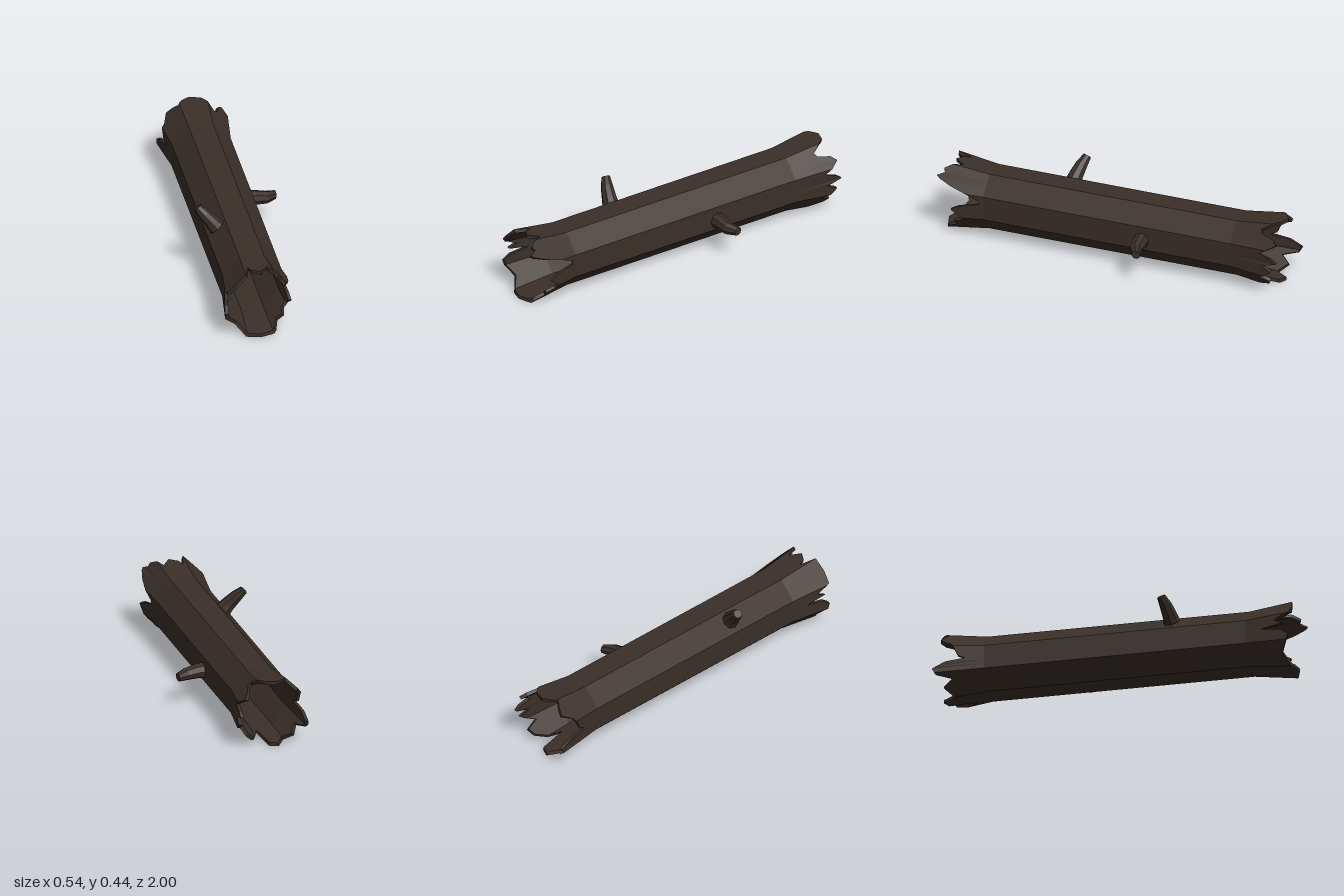
import * as THREE from 'three';

const bark = new THREE.MeshStandardMaterial({ color: 0x3b2f28, roughness: 1, flatShading: true });
const CX = -0.043, CY = 0.193;

// Jagged rims as [u, |z|]; u runs 0..8 round the octagon, whole numbers are its corners
const frontRim = [[0, .84], [.3, .9], [.45, .86], [.66, .74], [.8, .75], [1, .82], [1.2, .91], [1.4, .98], [1.5, 1],
  [1.65, .96], [1.8, .97], [2.05, .92], [2.15, .88], [2.45, .94], [2.75, .91], [2.85, .87], [3, .96], [3.5, .97],
  [3.95, .96], [4.2, .88], [4.35, .93], [4.48, .81], [4.6, .92], [4.8, .96], [5, .95], [5.5, .92], [5.9, .95],
  [6.1, .97], [6.5, .985], [6.9, .965], [7.1, .95], [7.3, .89], [7.6, .9], [7.75, .85], [8, .84]];
const backRim = [[0, .93], [.2, .97], [.38, .91], [.55, 1], [.7, .97], [.85, .9], [1, .94], [1.25, .99], [1.45, .96],
  [1.6, .89], [1.75, .88], [2, .93], [2.2, .97], [2.6, .99], [2.9, .96], [3.05, .93], [3.3, .95], [3.6, .96], [3.85, .9],
  [4.1, .88], [4.4, .86], [4.5, .82], [4.62, .93], [4.85, 1], [5.1, .98], [5.3, .9], [5.6, .95], [6, .9],
  [6.3, .97], [6.6, .95], [6.8, .79], [7, .86], [7.3, .93], [7.6, .95], [7.8, .88], [8, .93]];

function sample(rim, u) {
  const i = Math.max(1, rim.findIndex(p => p[0] >= u - 1e-6));
  const [u0, z0] = rim[i - 1], [u1, z1] = rim[i];
  return THREE.MathUtils.lerp(z0, z1, (u - u0) / (u1 - u0));
}

// Point on an octagon of apothem a at perimeter position u
function octagonPoint(u, a, z) {
  const corner = k => {
    const t = (k - 0.5) * Math.PI / 4, r = a / Math.cos(Math.PI / 8);
    return new THREE.Vector3(CX + r * Math.cos(t), CY + r * Math.sin(t), z);
  };
  const k = Math.floor(u);
  return corner(k).lerp(corner(k + 1), u - k);
}

// Flat-shaded skin over rows of points
function skin(rows, closeRows) {
  const pos = [];
  const tri = (...p) => p.forEach(v => pos.push(v.x, v.y, v.z));
  for (let i = 0; i < rows.length - 1; i++) {
    const n = rows[i].length;
    for (let j = 0; j < (closeRows ? n : n - 1); j++) {
      const k = (j + 1) % n;
      const a = rows[i][j], b = rows[i][k], c = rows[i + 1][k], d = rows[i + 1][j];
      tri(a, b, c);
      tri(a, c, d);
    }
  }
  const g = new THREE.BufferGeometry();
  g.setAttribute('position', new THREE.Float32BufferAttribute(pos, 3));
  g.computeVertexNormals();
  return g;
}

// Hollow trunk: each column runs along the outside and returns along the inside
function trunkGeometry() {
  const us = [...new Set([...frontRim, ...backRim].map(p => p[0]).concat([0, 1, 2, 3, 4, 5, 6, 7, 8]))].sort((a, b) => a - b);
  const flareStart = 0.72;
  const outer = z => 0.162 + 0.029 * THREE.MathUtils.clamp((z - flareStart) / 0.24, 0, 1);
  const inner = z => 0.149 + 0.022 * THREE.MathUtils.clamp((z - flareStart) / 0.24, 0, 1);
  const rows = us.map(u => {
    const f = sample(frontRim, u), b = sample(backRim, u);
    return [
      octagonPoint(u, outer(f), f), octagonPoint(u, 0.162, flareStart),
      octagonPoint(u, 0.162, -flareStart), octagonPoint(u, outer(b), -b),
      octagonPoint(u, inner(b), -b), octagonPoint(u, 0.149, -flareStart),
      octagonPoint(u, 0.149, flareStart), octagonPoint(u, inner(f), f),
    ];
  });
  return skin(rows, true);
}

// Bent, tapering stub from rings [x, y, z, radius], closed at the tip
function branchGeometry(rings, sides = 8) {
  const pts = rings.map(r => new THREE.Vector3(r[0], r[1], r[2]));
  const axis = pts.at(-1).clone().sub(pts[0]).normalize();
  const q = new THREE.Quaternion().setFromUnitVectors(new THREE.Vector3(0, 0, 1), axis);
  const radii = rings.map(r => r[3]);
  pts.push(pts.at(-1).clone());
  radii.push(0);
  const rows = [];
  for (let s = 0; s <= sides; s++) {
    const t = -(s / sides) * Math.PI * 2;
    rows.push(pts.map((p, i) =>
      new THREE.Vector3(Math.cos(t), Math.sin(t), 0).multiplyScalar(radii[i]).applyQuaternion(q).add(p)));
  }
  return skin(rows, false);
}

export function createModel() {
  const group = new THREE.Group();
  group.name = 'hollowLog';
  const add = (name, geometry) => {
    const mesh = new THREE.Mesh(geometry, bark);
    mesh.name = name;
    group.add(mesh);
  };
  add('trunk', trunkGeometry());
  add('leftBranch', branchGeometry([
    [.113, .18, -.205, .046], [.15, .18, -.205, .041], [.215, .171, -.21, .035], [.268, .167, -.236, .024]]));
  add('rightBranch', branchGeometry([
    [-.152, .313, .305, .047], [-.175, .342, .3, .041], [-.218, .39, .285, .034], [-.253, .427, .268, .024]]));
  return group;
}
